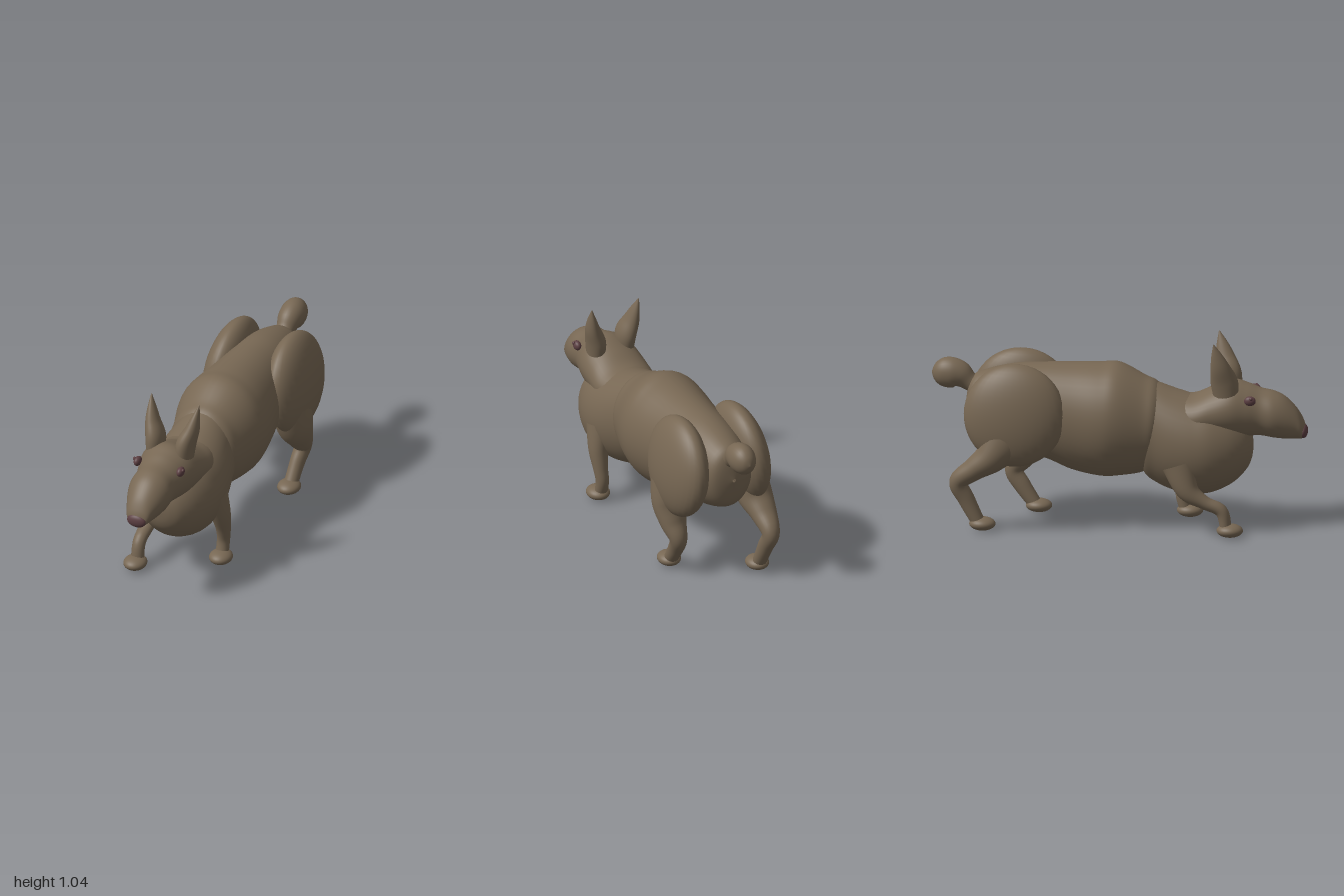
import * as THREE from 'three';

const fur = new THREE.MeshStandardMaterial({ name: 'brownFur', color: 0x776753 });
const dark = new THREE.MeshStandardMaterial({ name: 'darkNose', color: 0x5c3f42 });

// Uniform Catmull-Rom through rows of numbers
function smooth(rows, steps) {
  const out = [], n = rows.length;
  for (let k = 0; k <= (n - 1) * steps; k++) {
    const i = Math.min(Math.floor(k / steps), n - 2), t = k / steps - i;
    const a = rows[Math.max(i - 1, 0)], b = rows[i], c = rows[i + 1], d = rows[Math.min(i + 2, n - 1)];
    out.push(b.map((v, j) => 0.5 * (2 * v + (c[j] - a[j]) * t
      + (2 * a[j] - 5 * v + 4 * c[j] - d[j]) * t * t
      + (3 * v - a[j] - 3 * c[j] + d[j]) * t * t * t)));
  }
  return out;
}

// Skin over elliptical stations [x, y, z, sideRadius, otherRadius]
function skin(name, rows, axis = null, seg = 32) {
  const s = smooth(rows, 6), pos = [], idx = [];
  const at = (i) => new THREE.Vector3(...s[Math.max(0, Math.min(i, s.length - 1))].slice(0, 3));
  s.forEach((r, i) => {
    const dir = axis ? axis.clone() : at(i + 1).sub(at(i - 1)).normalize();
    const side = new THREE.Vector3(1, 0, 0).addScaledVector(dir, -dir.x).normalize();
    const up = dir.clone().cross(side);
    for (let j = 0; j < seg; j++) {
      const a = j / seg * Math.PI * 2;
      const p = at(i).addScaledVector(side, Math.max(r[3], 0.001) * Math.cos(a))
        .addScaledVector(up, Math.max(r[4], 0.001) * Math.sin(a));
      pos.push(p.x, p.y, p.z);
      if (i < s.length - 1) {
        const j2 = (j + 1) % seg, q = i * seg;
        idx.push(q + j, q + j2, q + seg + j2, q + j, q + seg + j2, q + seg + j);
      }
    }
  });
  const g = new THREE.BufferGeometry();
  g.setAttribute('position', new THREE.Float32BufferAttribute(pos, 3));
  g.setIndex(idx);
  g.computeVertexNormals();
  const m = new THREE.Mesh(g, fur);
  m.name = name;
  return m;
}

// Lengthwise form from [z, bottom, top, halfWidth]
const hull = (name, rows) => skin(name,
  rows.map(([z, b, t, w]) => [0, (b + t) / 2, z, w, (t - b) / 2]), new THREE.Vector3(0, 0, 1), 40);

function ball(name, mat, [x, y, z], [rx, ry, rz], tilt = 0) {
  const m = new THREE.Mesh(new THREE.SphereGeometry(1, 32, 24), mat);
  m.name = name;
  m.position.set(x, y, z);
  m.scale.set(rx, ry, rz);
  m.rotation.z = tilt;
  return m;
}

export function createModel() {
  const model = new THREE.Group();
  model.name = 'animal';

  // Trunk
  model.add(hull('torso', [
    [-0.82, 0.62, 0.64, 0.01], [-0.79, 0.48, 0.78, 0.11], [-0.7, 0.42, 0.83, 0.16],
    [-0.55, 0.38, 0.865, 0.19], [-0.4, 0.36, 0.875, 0.2], [-0.25, 0.3, 0.88, 0.225],
    [-0.1, 0.27, 0.885, 0.25], [0, 0.275, 0.885, 0.245], [0.13, 0.3, 0.82, 0.205],
    [0.2, 0.36, 0.785, 0.18], [0.27, 0.5, 0.7, 0.1]]));
  model.add(hull('chest', [
    [0.08, 0.45, 0.7, 0.1], [0.13, 0.3, 0.8, 0.17], [0.2, 0.24, 0.785, 0.19], [0.3, 0.2, 0.75, 0.215],
    [0.4, 0.185, 0.72, 0.225], [0.5, 0.2, 0.7, 0.215], [0.6, 0.25, 0.65, 0.175],
    [0.67, 0.32, 0.58, 0.12], [0.7, 0.38, 0.52, 0.065], [0.71, 0.45, 0.46, 0.005]]));

  // Head and nose
  model.add(hull('head', [
    [0.3, 0.5, 0.73, 0.14], [0.4, 0.5, 0.73, 0.17], [0.5, 0.5, 0.775, 0.168], [0.6, 0.5, 0.812, 0.16],
    [0.68, 0.51, 0.795, 0.138], [0.75, 0.515, 0.77, 0.118], [0.82, 0.505, 0.755, 0.118],
    [0.88, 0.5, 0.725, 0.102], [0.94, 0.5, 0.665, 0.076], [0.975, 0.505, 0.605, 0.055],
    [0.99, 0.53, 0.56, 0.01]]));
  model.add(ball('nose', dark, [0, 0.542, 0.977], [0.054, 0.037, 0.023]));

  // Paired ears, eyes and haunches
  for (const s of [1, -1]) {
    const label = s > 0 ? 'left' : 'right';
    model.add(skin(label + 'Ear', [
      [0.085, 0.73, 0.575, 0.045, 0.065], [0.09, 0.82, 0.565, 0.05, 0.073],
      [0.115, 0.9, 0.547, 0.038, 0.054], [0.129, 0.97, 0.53, 0.022, 0.032],
      [0.14, 1.04, 0.513, 0.002, 0.002]].map(([x, ...r]) => [x * s, ...r])));
    model.add(ball(label + 'Eye', dark, [s * 0.126, 0.731, 0.705], [0.02, 0.026, 0.031]));
    model.add(ball(label + 'EyeGlint', dark, [s * 0.143, 0.746, 0.712], [0.008, 0.009, 0.009]));
    model.add(ball(label + 'Haunch', fur, [s * 0.185, 0.632, -0.54], [0.113, 0.275, 0.27], s * 0.1));
  }

  // Striding legs
  model.add(skin('leftHindLeg', [
    [0.195, 0.52, -0.48, 0.1, 0.14], [0.21, 0.4, -0.49, 0.095, 0.105], [0.215, 0.3, -0.54, 0.072, 0.07],
    [0.21, 0.22, -0.585, 0.048, 0.05], [0.2, 0.14, -0.54, 0.04, 0.045], [0.195, 0.04, -0.47, 0.038, 0.036]]));
  model.add(skin('rightHindLeg', [
    [-0.195, 0.52, -0.58, 0.1, 0.14], [-0.21, 0.41, -0.66, 0.095, 0.09], [-0.215, 0.34, -0.75, 0.072, 0.062],
    [-0.21, 0.265, -0.835, 0.048, 0.05], [-0.2, 0.17, -0.795, 0.04, 0.045], [-0.195, 0.04, -0.73, 0.038, 0.036]]));
  model.add(skin('leftForeleg', [
    [0.165, 0.43, 0.38, 0.065, 0.09], [0.188, 0.3, 0.352, 0.052, 0.06], [0.19, 0.2, 0.325, 0.04, 0.042],
    [0.185, 0.12, 0.312, 0.035, 0.036], [0.185, 0.04, 0.33, 0.036, 0.032]]));
  model.add(skin('rightForeleg', [
    [-0.165, 0.38, 0.33, 0.065, 0.09], [-0.188, 0.25, 0.38, 0.052, 0.06], [-0.19, 0.185, 0.47, 0.04, 0.036],
    [-0.188, 0.14, 0.56, 0.035, 0.034], [-0.188, 0.04, 0.585, 0.036, 0.03]]));

  // Paws
  for (const [name, x, z] of [['leftHindPaw', 0.195, -0.452], ['rightHindPaw', -0.195, -0.71],
    ['leftForepaw', 0.19, 0.352], ['rightForepaw', -0.19, 0.605]]) {
    model.add(ball(name, fur, [x, 0.036, z], [0.062, 0.036, 0.07]));
  }

  // Bulbous tail
  model.add(skin('tail', [
    [0, 0.72, -0.74, 0.05, 0.05], [0, 0.76, -0.8, 0.05, 0.05], [0, 0.795, -0.85, 0.064, 0.072],
    [0, 0.805, -0.9, 0.07, 0.083], [0, 0.805, -0.95, 0.06, 0.073], [0, 0.805, -0.985, 0.035, 0.042],
    [0, 0.805, -1, 0.001, 0.001]]));

  return model;
}
